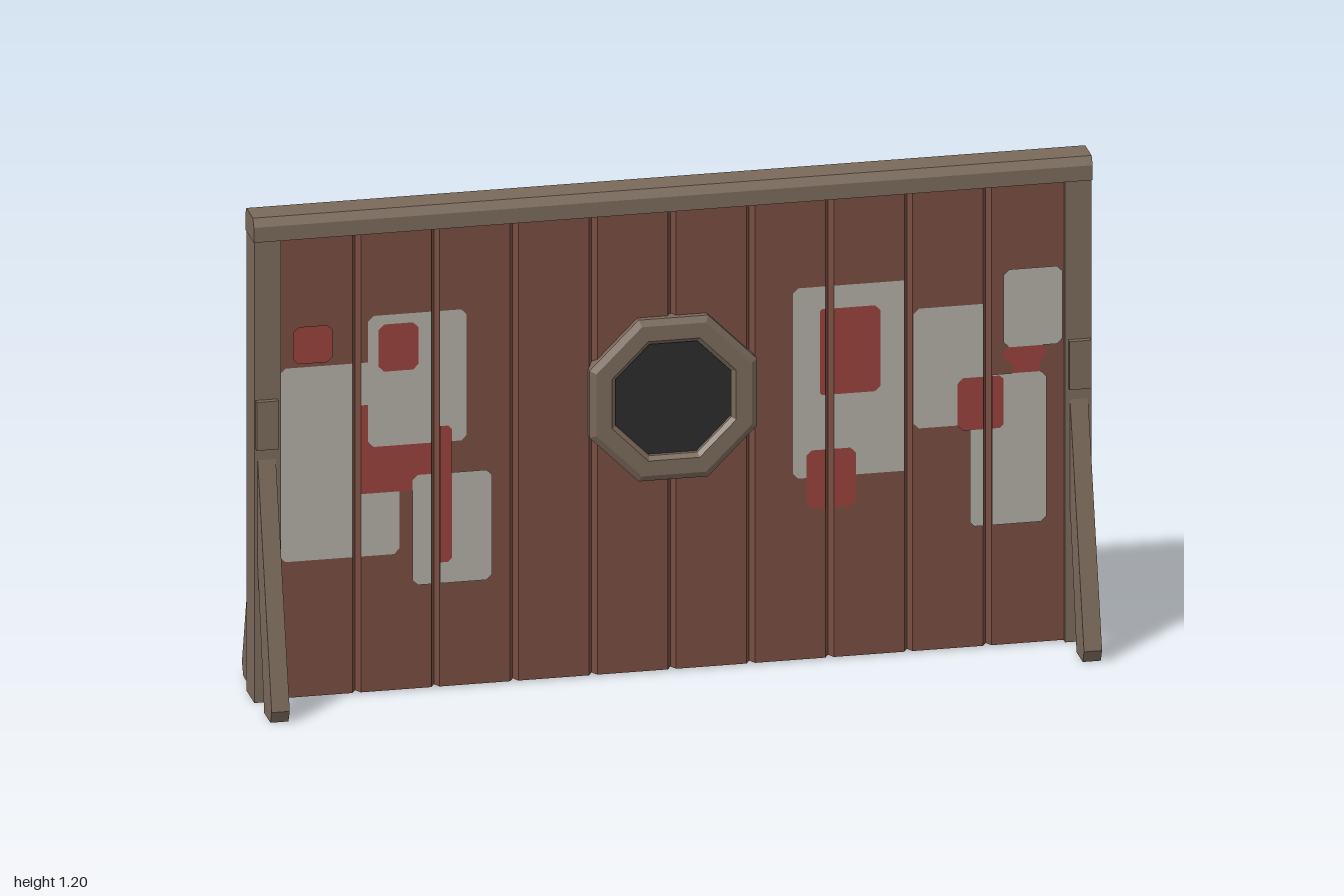
import * as THREE from 'three';

function mat(name, color, side = THREE.FrontSide) {
  const m = new THREE.MeshStandardMaterial({ color, side, flatShading: true });
  m.name = name;
  return m;
}

export function createModel() {
  const wood = mat('frame wood', 0x7a695a);
  const redBrown = mat('painted planks', 0x774c40);
  const grey = mat('back planks', 0x53504a);
  const dark = mat('dark disc', 0x2b2b2b);
  const white = mat('faded white paint', 0xb0aea4);
  const red = mat('red paint', 0x98423d);

  const model = new THREE.Group();
  model.name = 'barrier';
  const add = (name, geometry, material, parent = model) => {
    const mesh = new THREE.Mesh(geometry, material);
    mesh.name = name;
    parent.add(mesh);
    return mesh;
  };
  const polygon = (pts) => new THREE.Shape(pts.map((p) => new THREE.Vector2(...p)));
  const box = (x0, x1, y0, y1, z0, z1) =>
    new THREE.BoxGeometry(x1 - x0, y1 - y0, z1 - z0)
      .translate((x0 + x1) / 2, (y0 + y1) / 2, (z0 + z1) / 2);
  const extrude = (pts, depth) =>
    new THREE.ExtrudeGeometry(polygon(pts), { depth, bevelEnabled: false });
  // prism along x from a side outline of [z, y] points
  const sidePrism = (pts, x0, x1) =>
    extrude(pts.map(([z, y]) => [-z, y]), x1 - x0).rotateY(Math.PI / 2).translate(x0, 0, 0);
  // prism along y from a plan outline of [x, z] points
  const planPrism = (pts, y0, y1) =>
    extrude(pts.map(([x, z]) => [x, -z]), y1 - y0).rotateX(-Math.PI / 2).translate(0, y0, 0);

  // top beam with chamfered upper edges
  add('topBeam', sidePrism([
    [0.03, 1.143], [0.03, 1.18], [0.018, 1.2], [-0.053, 1.2], [-0.065, 1.18], [-0.065, 1.143],
  ], -1, 1), wood);

  // posts, brackets and splayed legs on both sides
  const frontLeg = [[0.178, 0.03], [0.164, 0], [0.096, 0], [0.02, 0.36], [0.02, 0.62]];
  const backLeg = [[-0.175, 0.03], [-0.16, 0], [-0.094, 0], [-0.055, 0.26], [-0.055, 0.45]];
  for (const [side, s] of [['left', 1], ['right', -1]]) {
    const group = new THREE.Group();
    group.name = side + 'Support';
    model.add(group);
    const span = (a, b) => (s > 0 ? [a, b] : [-b, -a]);
    add('post', box(...span(0.935, 0.998), 0, 1.15, -0.06, 0.025), wood, group);
    add('frontBracket', box(...span(0.943, 0.995), 0.63, 0.75, 0.02, 0.039), wood, group);
    add('backBracket', box(...span(0.943, 0.995), 0.63, 0.75, -0.071, -0.055), wood, group);
    add('frontLeg', sidePrism(frontLeg, ...span(0.947, 0.99)), wood, group);
    add('backLeg', sidePrism(backLeg, ...span(0.941, 0.984)), wood, group);
  }

  // planks with chamfered edges that form the grooves
  const count = 10, width = 1.88 / count, chamfer = 0.01;
  const face = 0.015, middle = -0.012, back = -0.034;
  const planks = new THREE.Group();
  planks.name = 'planks';
  model.add(planks);
  const plankSpans = [];
  for (let i = 0; i < count; i++) {
    const a = -0.94 + i * width, b = a + width;
    const ca = i === 0 ? a : a + chamfer, cb = i === count - 1 ? b : b - chamfer;
    plankSpans.push([ca, cb]);
    add('frontPlank', planPrism([
      [a, middle], [b, middle], [b, face - 0.018], [cb, face], [ca, face], [a, face - 0.018],
    ], 0.003, 1.146), redBrown, planks);
    add('backPlank', planPrism([
      [a, middle], [b, middle], [b, back + 0.012], [cb, back], [ca, back], [a, back + 0.012],
    ], 0.003, 1.146), grey, planks);
  }

  // rail across the back
  add('backRail', box(-0.937, 0.937, 0.625, 0.71, -0.056, -0.03), wood);

  // paint patches, x0, x1, y0, y1, later ones lie on top
  const patches = [
    [white, -0.935, -0.65, 0.34, 0.82],
    [red, -0.75, -0.525, 0.495, 0.715],
    [white, -0.725, -0.49, 0.61, 0.935],
    [red, -0.7, -0.605, 0.795, 0.912],
    [white, -0.62, -0.43, 0.26, 0.533],
    [red, -0.572, -0.525, 0.312, 0.65],
    [red, -0.905, -0.81, 0.83, 0.922],
    [white, 0.288, 0.556, 0.452, 0.924],
    [red, 0.353, 0.497, 0.655, 0.868],
    [red, 0.32, 0.438, 0.375, 0.52],
    [white, 0.575, 0.75, 0.555, 0.852],
    [white, 0.71, 0.892, 0.302, 0.675],
    [white, 0.79, 0.93, 0.74, 0.933],
    [red, 0.68, 0.79, 0.542, 0.672],
    [red, 0.812, 0.877, 0.622, 0.777],
    [red, 0.79, 0.892, 0.7, 0.742],
  ];
  const paint = new THREE.Group();
  paint.name = 'paintPatches';
  model.add(paint);
  const cut = 0.013;
  patches.forEach(([material, x0, x1, y0, y1], i) => {
    for (const [p0, p1] of plankSpans) {
      const a = Math.max(x0, p0), b = Math.min(x1, p1);
      if (b - a < 0.005) continue;
      // trim corners only where the patch itself ends
      const l = a === x0 ? Math.min(cut, (b - a) / 3) : 0;
      const r = b === x1 ? Math.min(cut, (b - a) / 3) : 0;
      const pts = [[a + l, y0], [b - r, y0]];
      if (r) pts.push([b, y0 + r], [b, y1 - r]);
      pts.push([b - r, y1], [a + l, y1]);
      if (l) pts.push([a, y1 - l], [a, y0 + l]);
      add('paintPatch', new THREE.ShapeGeometry(polygon(pts))
        .translate(0, 0, face + 0.0008 + (i % 7) * 0.0007), material, paint);
    }
  });

  // octagonal porthole ring and its dark disc
  const k = 1 / Math.cos(Math.PI / 8);
  const profile = [
    [0.2, 0], [0.2, 0.03], [0.185, 0.039], [0.148, 0.039], [0.138, 0.03], [0.138, 0],
  ].map(([r, z]) => new THREE.Vector2(r * k, z));
  add('portholeRing', new THREE.LatheGeometry(profile, 8, Math.PI / 8)
    .rotateX(Math.PI / 2).translate(0, 0.68, 0), wood);
  add('portholeDisc', new THREE.CylinderGeometry(0.14 * k, 0.14 * k, 0.008, 8, 1, false, Math.PI / 8)
    .rotateX(Math.PI / 2).translate(0, 0.68, 0.016), dark);

  return model;
}
